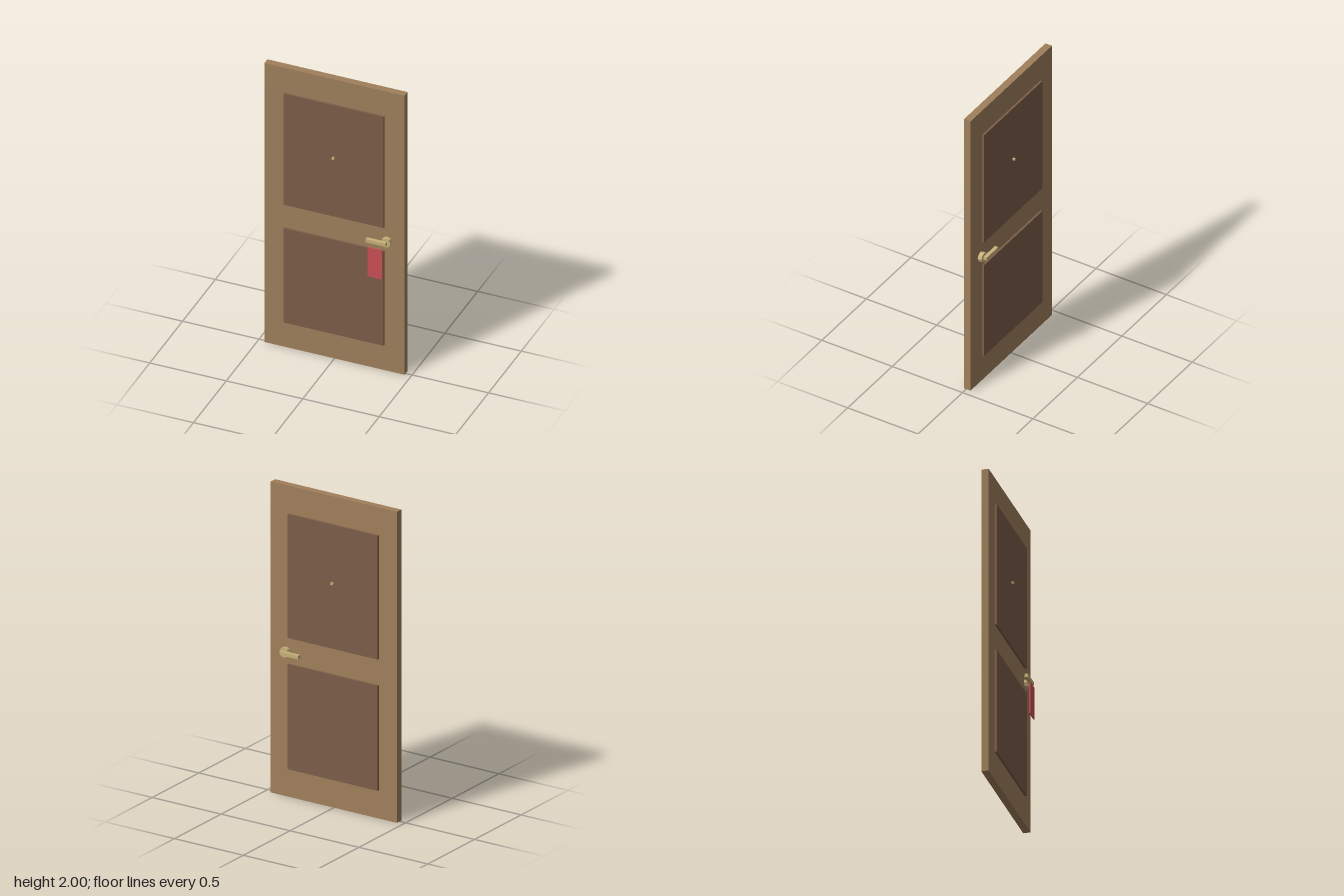
import * as THREE from 'three';

export function createModel() {
  const door = new THREE.Group();
  door.name = 'door';

  const material = (name, color) => {
    const m = new THREE.MeshStandardMaterial({ color });
    m.name = name;
    return m;
  };
  const wood = material('wood', 0xa0805c);
  const darkWood = material('darkWood', 0x7c5d48);
  const brass = material('brass', 0xc8b27a);
  const red = material('red', 0xca4f55);

  const midZ = -0.007; // centre plane of the door leaf

  const add = (name, geometry, mat, x, y, z) => {
    const mesh = new THREE.Mesh(geometry, mat);
    mesh.name = name;
    mesh.position.set(x, y, z);
    door.add(mesh);
  };
  const box = (name, mat, x0, x1, y0, y1, z0, z1) =>
    add(name, new THREE.BoxGeometry(x1 - x0, y1 - y0, z1 - z0), mat,
      (x0 + x1) / 2, (y0 + y1) / 2, (z0 + z1) / 2);
  // Eight-sided rod running through the door, with flat facets
  const rod = (name, radius, length, x, y) => {
    const geometry = new THREE.CylinderGeometry(radius, radius, length, 8)
      .rotateX(Math.PI / 2).toNonIndexed();
    geometry.computeVertexNormals();
    add(name, geometry, brass, x, y, midZ);
  };

  // Door leaf
  box('leaf', wood, -0.458, 0.458, 0, 2, midZ - 0.023, midZ + 0.023);

  // Raised panels and lever handles on both faces
  for (const [face, s] of [['front', 1], ['back', -1]]) {
    const slab = (name, mat, x0, x1, y0, y1, near, far) =>
      box(name, mat, x0, x1, y0, y1,
        midZ + Math.min(s * near, s * far), midZ + Math.max(s * near, s * far));
    slab(face + 'UpperPanel', darkWood, -0.327, 0.327, 1.026, 1.822, 0.023, 0.037);
    slab(face + 'LowerPanel', darkWood, -0.327, 0.327, 0.182, 0.857, 0.023, 0.037);
    slab(face + 'Lever', brass, 0.225, 0.355, 0.92, 0.943, 0.05, 0.073);
  }

  // Handle rose and peephole pass through the leaf
  rod('handleRose', 0.032, 0.101, 0.346, 0.931);
  rod('peephole', 0.009, 0.101, 0, 1.446);

  // Tag hanging below the front lever
  box('hangingTag', red, 0.243, 0.337, 0.687, 0.894, 0.068, 0.076);

  return door;
}
